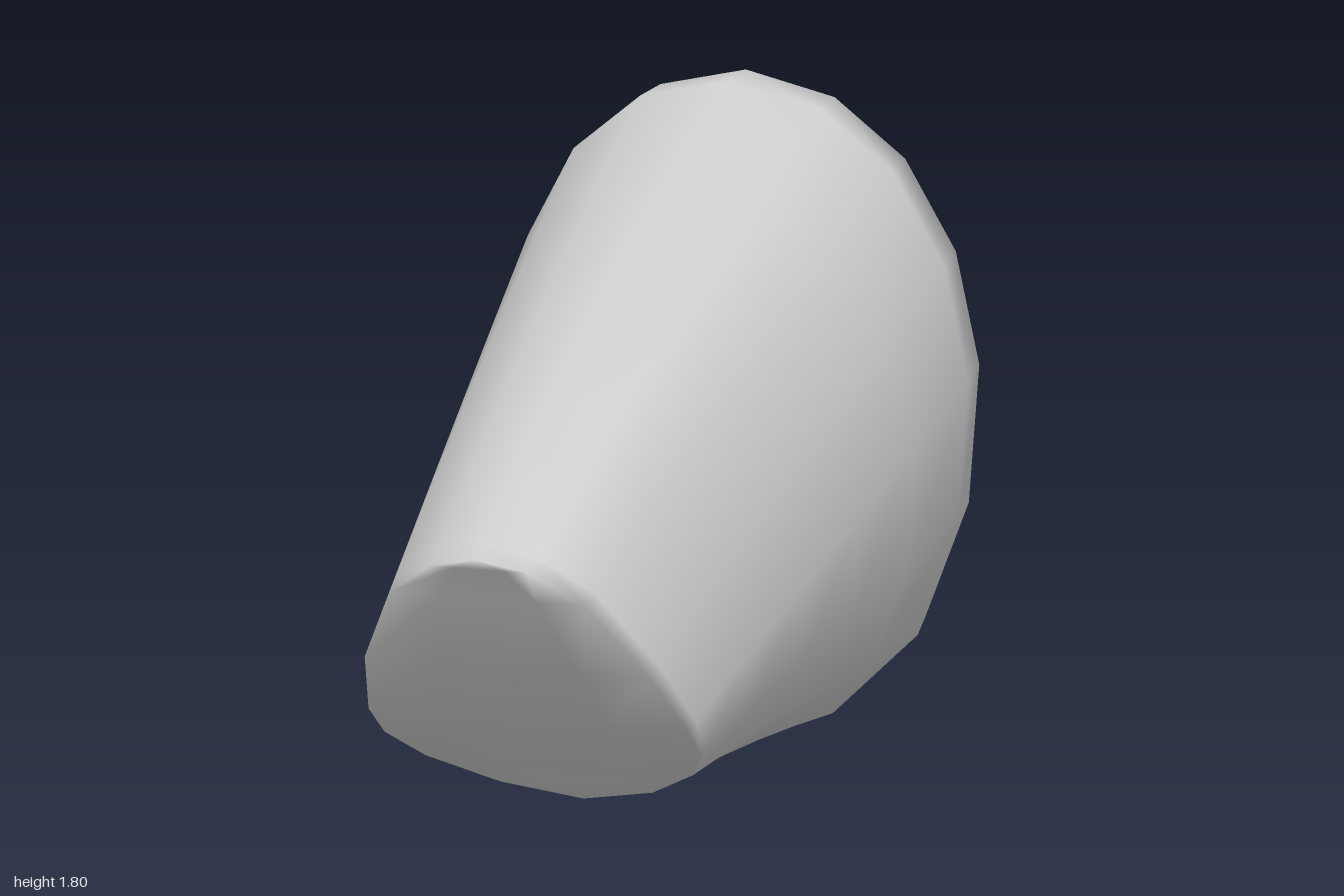
import * as THREE from 'three';
import { mergeVertices, mergeGeometries } from 'three/addons/utils/BufferGeometryUtils.js';

// Half outlines from top to bottom on the +x side
const frontRim = [
  [0, 0.8, 1], [0.14, 0.77, 0.97], [0.28, 0.68, 0.91], [0.41, 0.47, 0.77], [0.46, 0.3, 0.62],
  [0.455, 0.22, 0.52], [0.385, 0.14, 0.4], [0.22, 0.06, 0.28], [0, 0.02, 0.23],
];
const backEnd = [
  [0, 1.79, -0.79], [0.26, 1.73, -0.81], [0.46, 1.57, -0.83], [0.6, 1.32, -0.85], [0.665, 1.01, -0.86],
  [0.637, 0.63, -0.86], [0.515, 0.31, -0.87], [0.27, 0.08, -0.87], [0, 0.005, -0.87],
];

// The back bows gently outward between top and bottom
function backZ(y) {
  const d = y - 1.03;
  return -0.995 + (d > 0 ? 0.075 * (d / 0.77) ** 2 : 0.055 * (d / 0.99) ** 2);
}
const backRim = backEnd.map(([x, y]) => {
  const v = 0.04 + (y - 0.005) * 0.986;
  return [x * 0.965, v, backZ(v)];
});

// Section of the body between the two ends, swelling a little along the way
function section(t) {
  return frontRim.map((p, i) => {
    const q = p.map((v, k) => v + (backEnd[i][k] - v) * t);
    const c = Math.cos((i / 8) * Math.PI);
    q[1] += 4 * t * (1 - t) * (c > 0 ? 0.045 : 0.02) * c * c;
    return q;
  });
}

// Mirror a half outline into a closed ring
function closeRing(half) {
  const other = half.slice(0, -1).reverse().map(([x, y, z]) => [-x, y, z]);
  return [...half, ...other];
}

// Skin over rows of points
function skin(rows, flip = false) {
  const n = rows[0].length;
  const index = [];
  for (let j = 0; j < rows.length - 1; j++) {
    for (let i = 0; i < n - 1; i++) {
      const a = j * n + i, b = a + 1, c = a + n, d = c + 1;
      if (flip) index.push(a, c, b, b, c, d);
      else index.push(a, b, c, b, d, c);
    }
  }
  const g = new THREE.BufferGeometry();
  g.setAttribute('position', new THREE.Float32BufferAttribute(rows.flat(2), 3));
  g.setIndex(index);
  return g;
}

// Cap: each row runs straight across from one side of the rim to the other
function capRows(half) {
  return half.map(([x, y, z]) => [-1, -0.5, 0, 0.5, 1].map((s) => [x * s, y, z]));
}

export function createModel() {
  const group = new THREE.Group();
  group.name = 'taperedBlock';

  const halves = [0, 0.03, 0.2, 0.4, 0.6, 0.8, 1].map(section);
  halves.push(backRim);

  // Body and both caps are welded so the narrow rims shade softly
  const geometry = mergeVertices(mergeGeometries([
    skin(halves.map(closeRing)),
    skin(capRows(frontRim), true),
    skin(capRows(backRim)),
  ]), 1e-4);
  geometry.computeVertexNormals();

  const body = new THREE.Mesh(geometry, new THREE.MeshStandardMaterial({ color: 0xcccccc }));
  body.name = 'body';
  group.add(body);
  return group;
}
